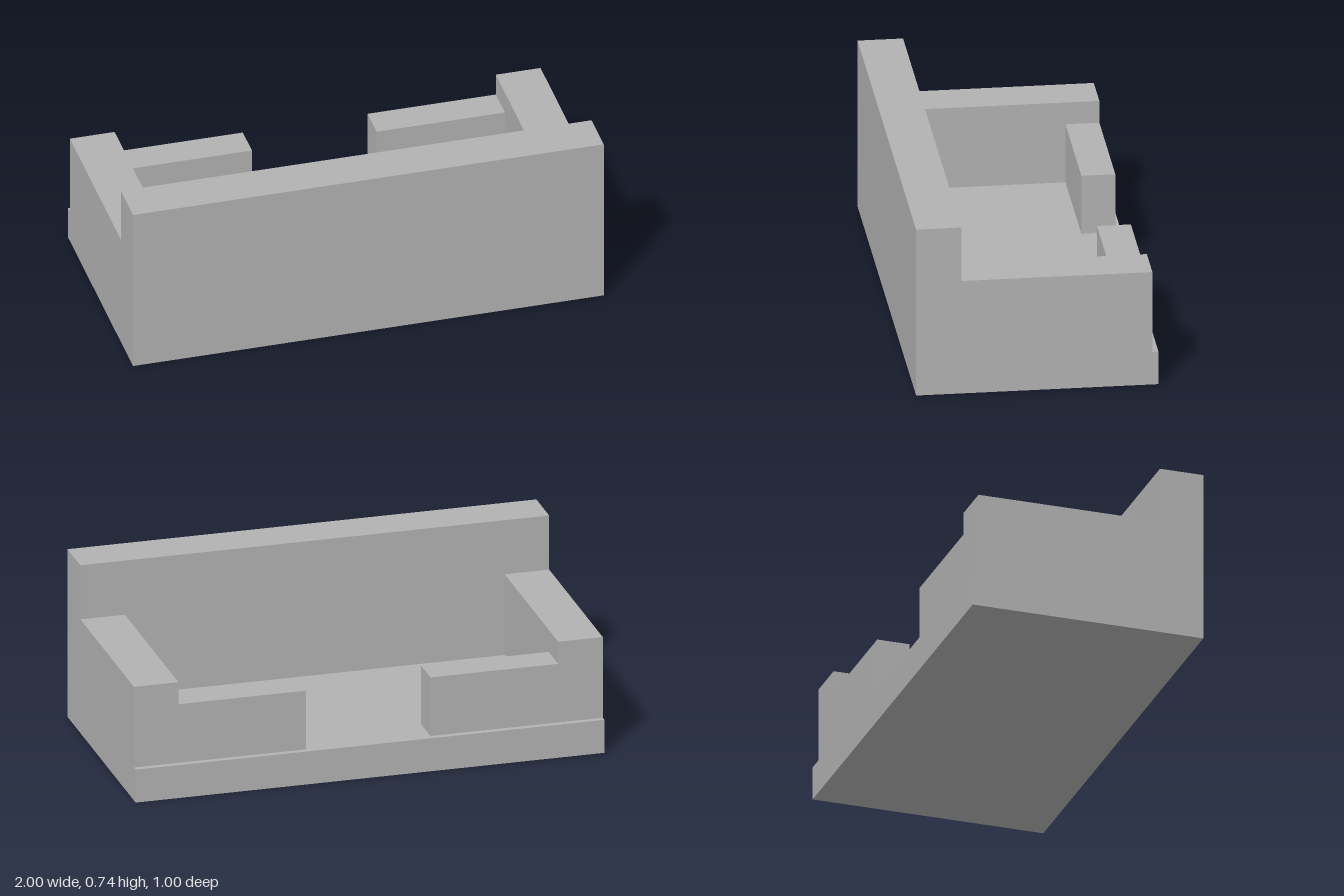
import * as THREE from 'three';

export function createModel() {
  const group = new THREE.Group();
  const stone = new THREE.MeshStandardMaterial({ color: 0xb2b2b2 });
  stone.name = 'plain grey';

  // Box given by its extents along each axis
  const block = (name, [x0, x1], [y0, y1], [z0, z1]) => {
    const geometry = new THREE.BoxGeometry(x1 - x0, y1 - y0, z1 - z0);
    const mesh = new THREE.Mesh(geometry, stone);
    mesh.position.set((x0 + x1) / 2, (y0 + y1) / 2, (z0 + z1) / 2);
    mesh.name = name;
    group.add(mesh);
  };

  const floorY = 0.145;
  const innerX = 0.81;
  const wallZ = 0.312;
  const rearZ = -0.475;

  // Floor slab and the tall front wall
  block('base', [-1, 1], [0, floorY], [-0.5, 0.5]);
  block('frontWall', [-1, 1], [floorY, 0.738], [wallZ, 0.5]);

  // Side walls and low rear walls, leaving an entrance between them
  for (const [side, s] of [['left', 1], ['right', -1]]) {
    const span = (a, b) => (s > 0 ? [a, b] : [-b, -a]);
    block(side + 'SideWall', span(innerX, 1), [floorY, 0.5], [rearZ, wallZ]);
    block(side + 'RearWall', span(0.265, innerX), [floorY, 0.403], [rearZ, -0.335]);
  }

  return group;
}
